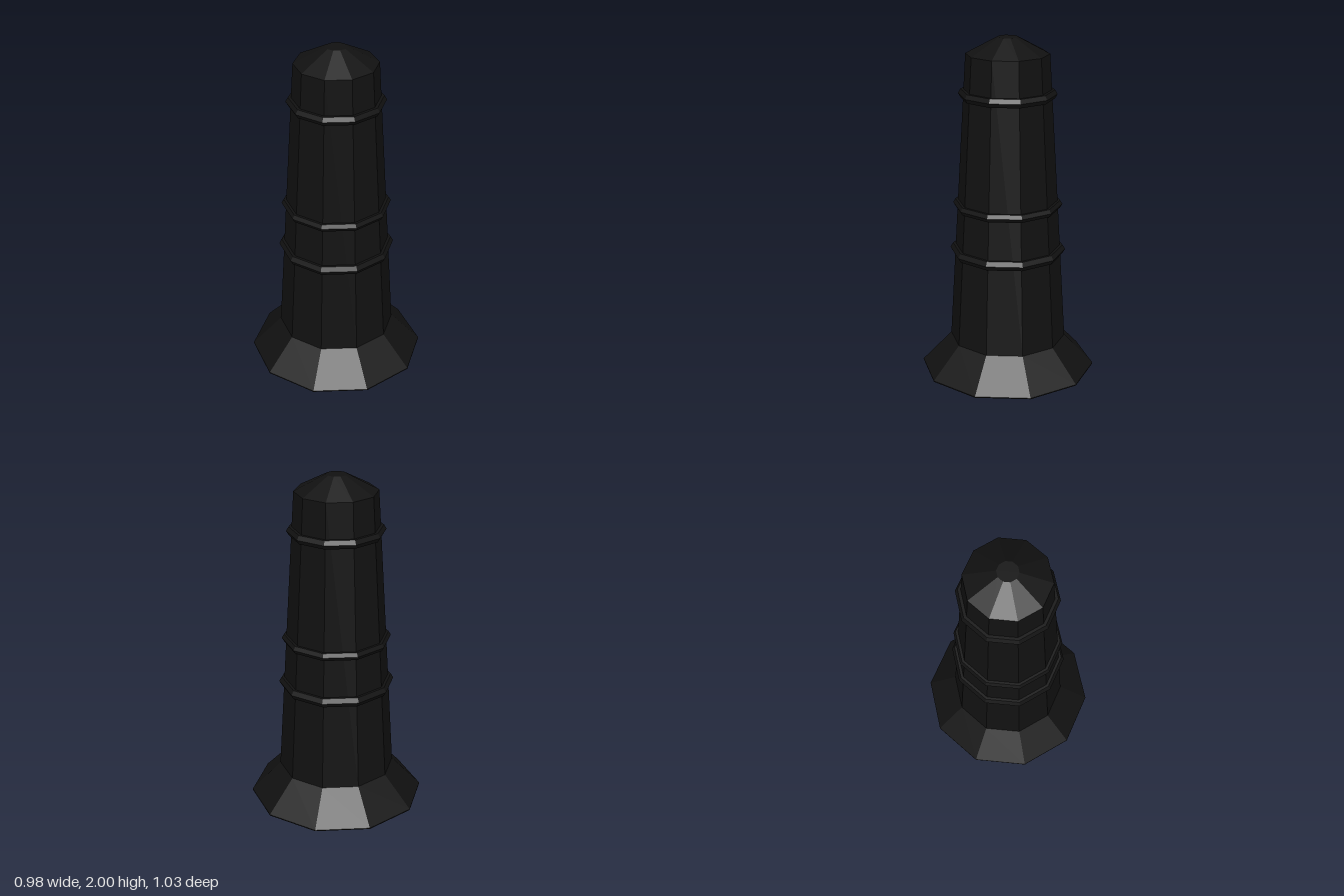
import * as THREE from 'three';

const SIDES = 10;

export function createModel() {
  const group = new THREE.Group();
  const material = new THREE.MeshStandardMaterial({ color: 0x111111, flatShading: true });

  const add = (name, geometry) => {
    const mesh = new THREE.Mesh(geometry, material);
    mesh.name = name;
    group.add(mesh);
    return mesh;
  };

  // Closed ten-sided solid turned from [radius, height] pairs, a corner facing +z
  const turned = (profile) =>
    new THREE.LatheGeometry(profile.map(([r, y]) => new THREE.Vector2(r, y)), SIDES);

  // Flared foot
  add('flaredBase', turned([[0, 0], [0.517, 0], [0.517, 0.006], [0.343, 0.19]]));

  // Tapering shaft
  add('shaft', turned([[0.343, 0.19], [0.24, 1.905]]));

  // Bevelled cap with a small flat top
  add('cap', turned([[0.24, 1.905], [0.06, 2], [0, 2]]));

  // Raised bands: [height, centre radius, thickness]
  const bands = [[0.74, 0.309, 0.031], [1.02, 0.294, 0.026], [1.675, 0.255, 0.029]];
  bands.forEach(([y, radius, tube], i) => {
    const ring = new THREE.TorusGeometry(radius, tube, 6, SIDES);
    ring.rotateX(Math.PI / 2).rotateY(Math.PI / 2);
    add('band' + (i + 1), ring).position.y = y;
  });

  return group;
}
